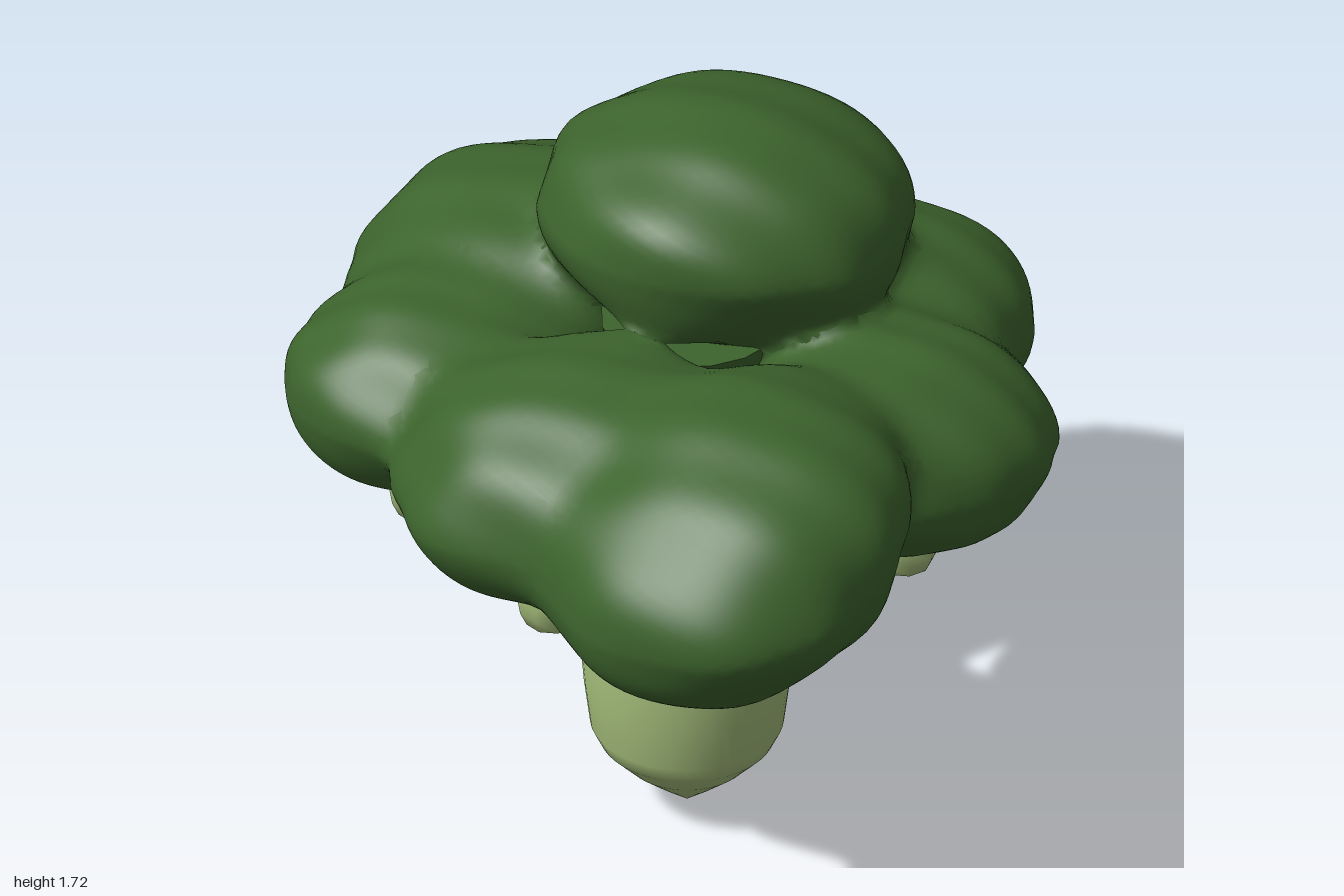
import * as THREE from 'three';
import { mergeVertices } from 'three/addons/utils/BufferGeometryUtils.js';

// Each lobe: centre, radii, and how much its height leans along x and z
const LOBES = [
  { name: 'frontLobe', c: [-0.035, 1.09, 0.58], r: [0.4, 0.305, 0.415], lean: [0.17, -0.08] },
  { name: 'leftFrontLobe', c: [0.43, 1.06, 0.21], r: [0.34, 0.25, 0.31], lean: [-0.06, 0] },
  { name: 'rightFrontLobe', c: [-0.33, 1.08, 0.22], r: [0.35, 0.27, 0.33], lean: [0.12, 0] },
  { name: 'leftLobe', c: [0.52, 1.06, -0.25], r: [0.305, 0.235, 0.28], lean: [-0.04, 0] },
  { name: 'rightLobe', c: [-0.53, 1.06, -0.23], r: [0.305, 0.225, 0.28], lean: [0.05, 0] },
  { name: 'rightBackLobe', c: [-0.24, 1.08, -0.55], r: [0.375, 0.28, 0.375], lean: [0.05, 0.08] },
  { name: 'leftBackLobe', c: [0.25, 1.08, -0.615], r: [0.375, 0.28, 0.385], lean: [-0.05, 0.08] },
  { name: 'topLobe', c: [0.13, 1.445, -0.18], r: [0.41, 0.27, 0.415], lean: [-0.06, 0.1] },
];
const BLEND = 0.045;

// Approximate signed distance from a point to one lumpy lobe, narrower underneath
function lobeDistance({ c, r, lean }, p, seed) {
  let x = p.x - c[0], z = p.z - c[2];
  const y = p.y - c[1] - lean[0] * x - lean[1] * z;
  const taper = 1 + 0.14 * Math.min(1, Math.max(0, -y / r[1]));
  x *= taper / r[0];
  z *= taper / r[2];
  const h = y / r[1];
  const k = Math.hypot(x, h, z) + 1e-6;
  const [a, b, d] = [x / k, h / k, z / k];
  const lump = 1 + 0.015 * (Math.sin(5 * a + seed * 2.1) * Math.cos(6 * d + seed)
    + Math.sin(7 * b + 4 * a + seed * 1.7) + 0.7 * Math.sin(11 * d - 8 * a + seed));
  return (k - lump) / Math.hypot(a / r[0], b / r[1], d / r[2]);
}

// All lobes melted together
const crownField = (p) => -BLEND * Math.log(
  LOBES.reduce((sum, lobe, i) => sum + Math.exp(-lobeDistance(lobe, p, i + 1) / BLEND), 0));

// One floret whose skin flows into its neighbours
function lobeGeometry({ c, r, lean }) {
  let g = new THREE.IcosahedronGeometry(1, 14);
  g.deleteAttribute('normal');
  g.deleteAttribute('uv');
  g = mergeVertices(g, 1e-4);
  g.computeVertexNormals();
  const { position: pos, normal } = g.attributes;
  const d = new THREE.Vector3(), p = new THREE.Vector3(), n = new THREE.Vector3();
  const step = 0.004;
  const slope = (axis) => {
    const start = p[axis];
    p[axis] = start + step;
    const ahead = crownField(p);
    p[axis] = start - step;
    const behind = crownField(p);
    p[axis] = start;
    return ahead - behind;
  };
  for (let i = 0; i < pos.count; i++) {
    d.fromBufferAttribute(pos, i);
    const x = d.x * r[0], z = d.z * r[2];
    d.set(x, d.y * r[1] + lean[0] * x + lean[1] * z, z);
    p.fromArray(c).add(d);
    d.normalize();
    // Slide to the blended skin; points deep inside a neighbour stay hidden
    let moved = 0;
    for (let k = 0; k < 8; k++) {
      const next = THREE.MathUtils.clamp(moved - crownField(p), -0.1, 0.09);
      p.addScaledVector(d, next - moved);
      moved = next;
    }
    n.set(slope('x'), slope('y'), slope('z')).normalize();
    pos.setXYZ(i, p.x, p.y, p.z);
    normal.setXYZ(i, n.x, n.y, n.z);
  }
  return g;
}

const lathe = (points, sides) =>
  new THREE.LatheGeometry(points.map(([x, y]) => new THREE.Vector2(x, y)), sides);

// Ragged paint line: moves only the ring at the given height
function ragRing(g, height, sides) {
  const pos = g.attributes.position;
  for (let i = 0; i < pos.count; i++) {
    if (Math.abs(pos.getY(i) - height) > 1e-4) continue;
    const k = Math.round(Math.atan2(pos.getX(i), pos.getZ(i)) / (2 * Math.PI) * sides + sides) % sides;
    pos.setY(i, height + 0.007 * Math.sin(k * 2.3) + 0.005 * Math.sin(k * 0.9));
  }
  return g;
}

export function createModel() {
  const green = new THREE.MeshStandardMaterial({ color: 0x3d642d });
  green.name = 'floretGreen';
  const pale = new THREE.MeshStandardMaterial({ color: 0xa5be7b });
  pale.name = 'stalkPaleGreen';

  const model = new THREE.Group();
  const add = (name, geometry, material, x = 0, y = 0, z = 0) => {
    const mesh = new THREE.Mesh(geometry, material);
    mesh.name = name;
    mesh.position.set(x, y, z);
    model.add(mesh);
  };

  // Crown
  LOBES.forEach((lobe) => add(lobe.name, lobeGeometry(lobe), green));

  // Trunk with a green tip
  const sides = 48;
  const trunk = lathe([[0.001, 0], [0.07, 0.055], [0.135, 0.11], [0.19, 0.168], [0.21, 0.21],
    [0.224, 0.32], [0.232, 0.42], [0.224, 0.5], [0.2, 0.595]], sides);
  const tip = lathe([[0.2, 0.595], [0.188, 0.665], [0.16, 0.725], [0.105, 0.785], [0.05, 0.835],
    [0.001, 0.87]], sides);
  add('trunk', ragRing(trunk, 0.595, sides), pale, 0.02, 0, -0.075);
  add('trunkTip', ragRing(tip, 0.595, sides), green, 0.02, 0, -0.075);

  // Short stalk and green collar under each lobe; the last one hangs from the top lobe
  const stalk = lathe([[0.001, 0.7], [0.06, 0.733], [0.075, 0.765], [0.081, 0.8], [0.079, 0.838]], 9);
  const collar = lathe([[0.079, 0.838], [0.095, 0.87], [0.15, 0.95]], 9);
  const spots = [[0.04, 0, 0.51], [0.44, 0, 0.2], [-0.35, 0, 0.26], [0.52, 0, -0.22],
    [-0.53, 0, -0.22], [-0.23, 0, -0.52], [0.23, 0, -0.59], [0.03, 0.17, -0.065]];
  for (const [x, y, z] of spots) {
    add('stalk', stalk, pale, x, y, z);
    add('stalkCollar', collar, green, x, y, z);
  }
  // Neck joining the top lobe to its stalk
  add('topNeck', new THREE.CylinderGeometry(0.2, 0.15, 0.14, 16), green, 0.03, 1.185, -0.065);
  return model;
}
